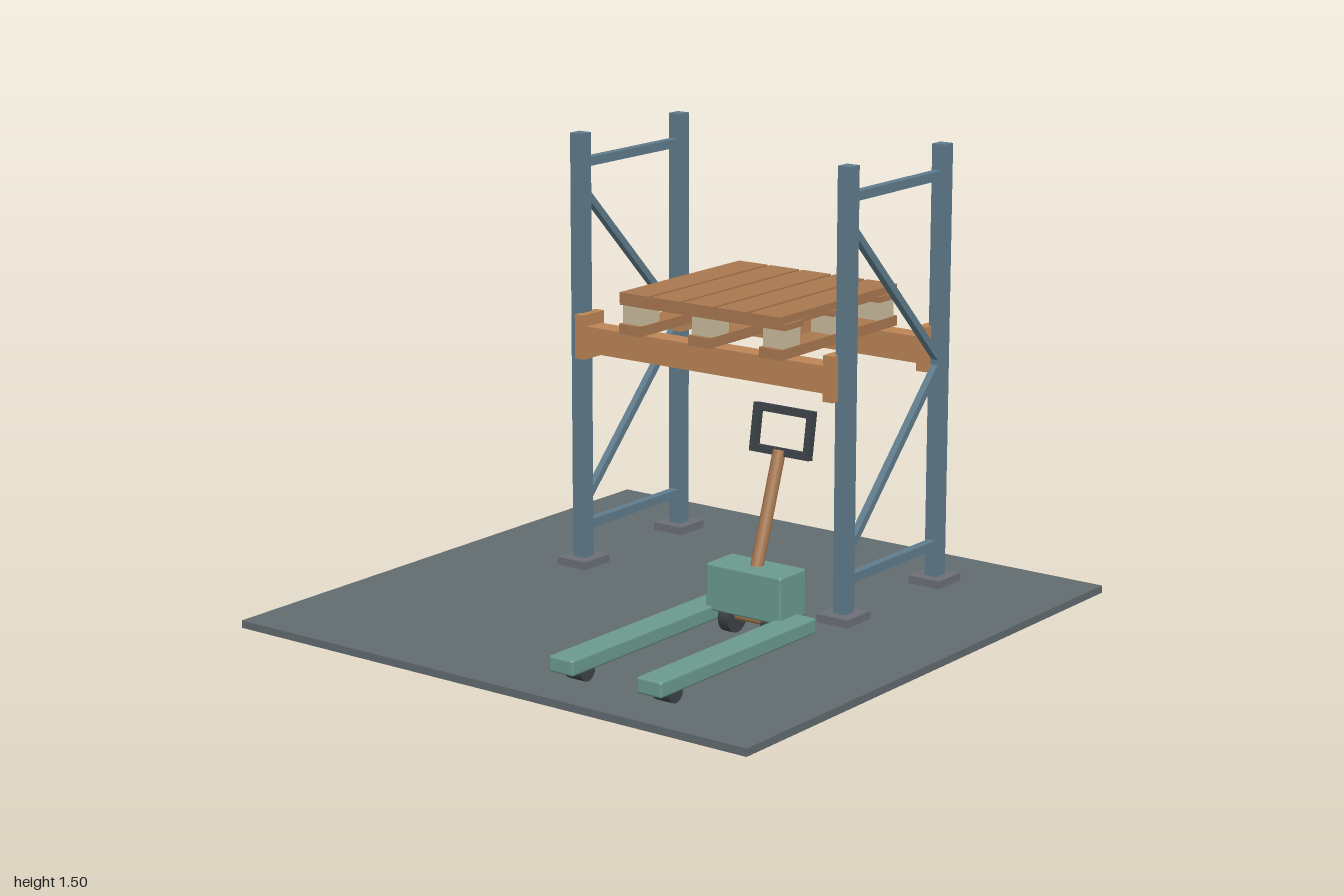
import * as THREE from 'three';
import { RoundedBoxGeometry } from 'three/addons/geometries/RoundedBoxGeometry.js';

const mat = (color) => new THREE.MeshStandardMaterial({ color });
const M = {
  floor: mat(0x626b6f), steel: mat(0x5f7b8c), plate: mat(0x6b6f76), beam: mat(0xbb8455),
  wood: mat(0xa87850), block: mat(0xc9bc9c), green: mat(0x6a998e), dark: mat(0x3b4248),
};

function add(parent, name, geometry, material, x, y, z) {
  const mesh = new THREE.Mesh(geometry, material);
  mesh.name = name;
  mesh.position.set(x, y, z);
  parent.add(mesh);
  return mesh;
}
const box = (parent, name, material, [w, h, d], [x, y, z]) =>
  add(parent, name, new THREE.BoxGeometry(w, h, d), material, x, y, z);
const rounded = (parent, name, material, [w, h, d], [x, y, z]) =>
  add(parent, name, new RoundedBoxGeometry(w, h, d, 2, 0.008), material, x, y, z);

function group(parent, name) {
  const g = new THREE.Group();
  g.name = name;
  parent.add(g);
  return g;
}

// Square bar in the plane of an upright frame, from (y0, z0) to (y1, z1)
function brace(parent, name, x, y0, z0, y1, z1, t) {
  const bar = box(parent, name, M.steel, [t, t, Math.hypot(y1 - y0, z1 - z0)],
    [x, (y0 + y1) / 2, (z0 + z1) / 2]);
  bar.rotation.x = Math.atan2(-(y1 - y0), z1 - z0);
}

// Cylinder lying along x
function roller(parent, name, material, r, w, x, y, z) {
  add(parent, name, new THREE.CylinderGeometry(r, r, w, 28), material, x, y, z).rotation.z = Math.PI / 2;
}

const FRONT = -0.165, BACK = -0.7;

function buildRack(root) {
  const rack = group(root, 'rack');
  for (const side of [-1, 1]) {
    const x = side * 0.534;
    const frame = group(rack, side < 0 ? 'rightUprightFrame' : 'leftUprightFrame');
    for (const z of [FRONT, BACK]) {
      box(frame, 'post', M.steel, [0.048, 1.46, 0.05], [x, 0.77, z]);
      box(frame, 'basePlate', M.plate, [0.12, 0.028, 0.13], [x, 0.038, z]);
      box(frame, 'beamConnector', M.beam, [0.037, 0.15, 0.11], [side * 0.501, 0.824, z]);
    }
    for (const y of [0.16, 1.4]) brace(frame, 'horizontalBrace', x, y, FRONT, y, BACK, 0.03);
    brace(frame, 'lowerDiagonalBrace', x, 0.23, FRONT, 0.78, BACK, 0.024);
    brace(frame, 'upperDiagonalBrace', x, 1.32, FRONT, 0.78, BACK, 0.024);
  }
  for (const z of [FRONT, BACK])
    box(rack, 'loadBeam', M.beam, [1.0, 0.089, 0.075], [0, 0.815, z]);
}

function buildPallet(root) {
  const pallet = group(root, 'pallet');
  const mid = (FRONT + BACK) / 2;
  for (let i = -2; i <= 2; i++)
    box(pallet, 'topBoard', M.wood, [0.118, 0.035, 0.665], [i * 0.132, 0.983, mid]);
  for (const z of [FRONT, mid, BACK])
    box(pallet, 'crossBoard', M.wood, [0.664, 0.02, 0.1], [0, 0.965, z]);
  for (const x of [-0.283, 0, 0.283]) {
    box(pallet, 'bottomBoard', M.wood, [0.088, 0.034, 0.66], [x, 0.877, mid]);
    for (const z of [FRONT, mid, BACK])
      box(pallet, 'spacerBlock', M.block, [0.08, 0.063, 0.093], [x, 0.925, z]);
  }
}

function buildPalletJack(root) {
  const jack = group(root, 'palletJack');
  jack.position.x = 0.4;
  rounded(jack, 'body', M.green, [0.29, 0.154, 0.14], [0, 0.177, 0.13]);
  for (const side of [-1, 1]) {
    rounded(jack, 'fork', M.green, [0.094, 0.052, 0.796], [side * 0.167, 0.09, 0.499]);
    roller(jack, 'forkRoller', M.dark, 0.034, 0.065, side * 0.167, 0.059, 0.805);
    roller(jack, 'steerWheel', M.dark, 0.054, 0.038, side * 0.082, 0.079, 0.14);
  }
  roller(jack, 'wheelAxle', M.wood, 0.016, 0.15, 0, 0.084, 0.14);

  // Leaning tiller shaft
  const a = new THREE.Vector3(0, 0.22, 0.134), b = new THREE.Vector3(0, 0.603, 0.006);
  const dir = b.clone().sub(a);
  const c = a.clone().add(b).multiplyScalar(0.5);
  const shaft = add(jack, 'tillerShaft', new THREE.CylinderGeometry(0.021, 0.021, dir.length(), 20),
    M.wood, c.x, c.y, c.z);
  shaft.quaternion.setFromUnitVectors(new THREE.Vector3(0, 1, 0), dir.normalize());

  // Rectangular hand grip
  const grip = group(jack, 'handGrip');
  grip.position.set(0, 0.661, -0.011);
  grip.rotation.x = -0.16;
  for (const s of [-1, 1]) {
    box(grip, 'gripSide', M.dark, [0.022, 0.156, 0.025], [s * 0.103, 0, 0]);
    box(grip, 'gripBar', M.dark, [0.226, 0.024, 0.025], [0, s * 0.066, 0]);
  }
}

export function createModel() {
  const root = new THREE.Group();
  root.name = 'warehouseBay';
  box(root, 'floor', M.floor, [2, 0.025, 2], [0, 0.0125, 0]);
  buildRack(root);
  buildPallet(root);
  buildPalletJack(root);
  return root;
}
